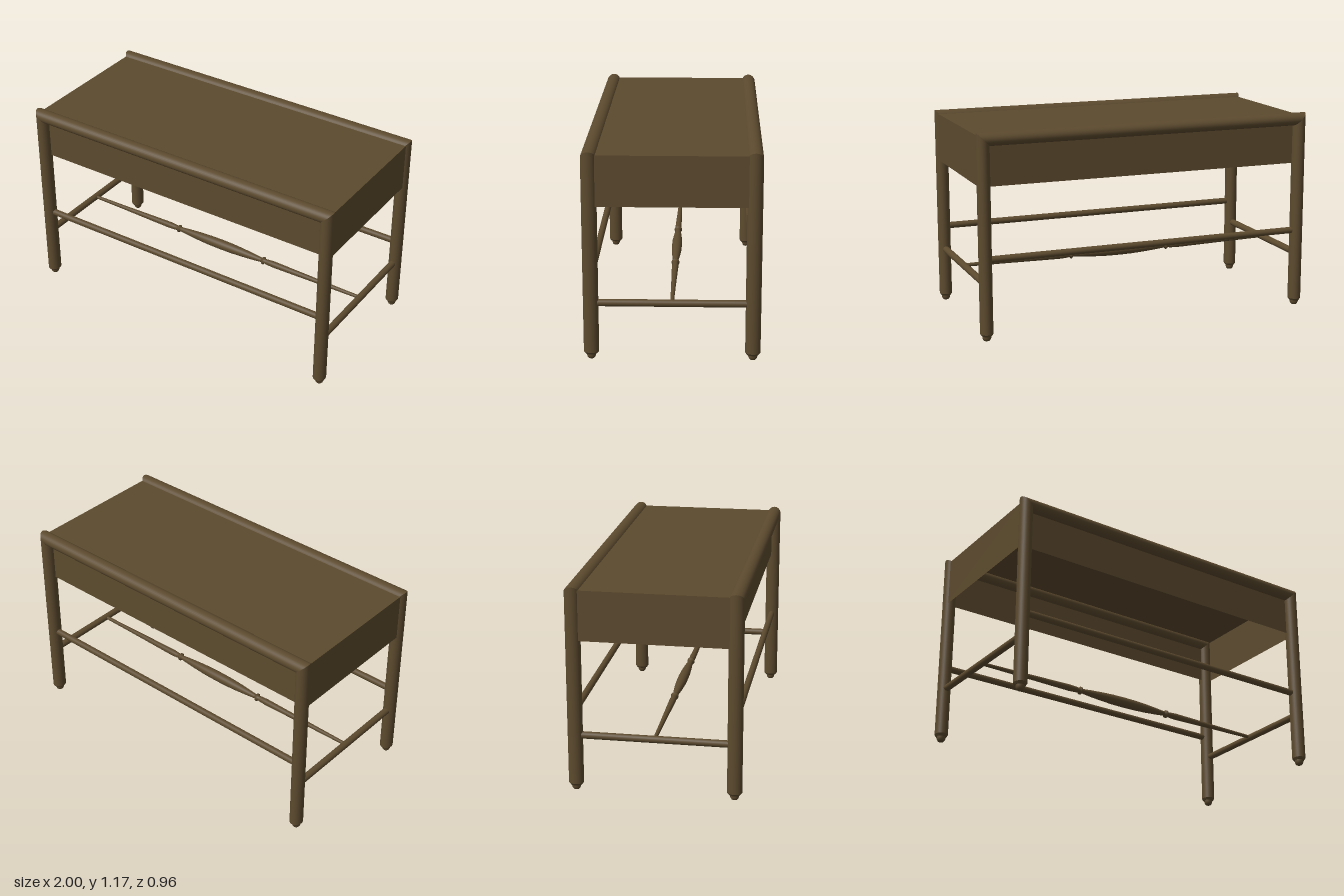
import * as THREE from 'three';

const wood = new THREE.MeshStandardMaterial({ color: 0x5c4a2e });
wood.name = 'brown wood';
const panelWood = new THREE.MeshStandardMaterial({ color: 0x5c4a2e, side: THREE.DoubleSide });
panelWood.name = 'brown wood panel';

const LEG_X = 0.963, LEG_Z = 0.439, RAIL_Y = 1.129, R = 0.037, FLAT = 1.13;

function add(parent, name, geometry, material, x = 0, y = 0, z = 0) {
  const mesh = new THREE.Mesh(geometry, material);
  mesh.name = name;
  mesh.position.set(x, y, z);
  parent.add(mesh);
  return mesh;
}

// Round rod lying along x or z
function rod(radius, length, axis) {
  const g = new THREE.CylinderGeometry(radius, radius, length, 20);
  return axis === 'x' ? g.rotateZ(Math.PI / 2) : g.rotateX(Math.PI / 2);
}

// Oval post whose top is cut at 45 degrees to meet the rail
function legGeometry(side) {
  const bottom = 0.04;
  const g = new THREE.CylinderGeometry(R, R, 1, 32, 1, true);
  const p = g.attributes.position;
  for (let i = 0; i < p.count; i++) {
    p.setY(i, p.getY(i) > 0 ? RAIL_Y + p.getX(i) * side : bottom);
  }
  return g.scale(1, 1, FLAT);
}

// Oval rail with both ends mitred
function railGeometry() {
  const g = new THREE.CylinderGeometry(R, R, 2, 32, 1, true).rotateZ(Math.PI / 2);
  const p = g.attributes.position;
  for (let i = 0; i < p.count; i++) {
    p.setX(i, Math.sign(p.getX(i)) * (LEG_X + p.getY(i)));
  }
  return g.scale(1, 1, FLAT);
}

function createLeg(side, z) {
  const leg = new THREE.Group();
  leg.name = 'leg';
  leg.position.set(side * LEG_X, 0, z);
  add(leg, 'post', legGeometry(side), wood);
  // bevelled end and small peg foot
  const bevel = new THREE.CylinderGeometry(R, R - 0.008, 0.012, 32).scale(1, 1, FLAT);
  add(leg, 'legEnd', bevel, wood, 0, 0.034, 0);
  const foot = [[0, 0], [0.016, 0], [0.021, 0.006], [0.025, 0.016], [0.025, 0.032]];
  add(leg, 'foot', new THREE.LatheGeometry(foot.map(([r, y]) => new THREE.Vector2(r, y)), 24), wood);
  return leg;
}

// Turned spindle, profile mirrored about its middle
function spindleGeometry() {
  const half = [
    [0.030, 0], [0.029, 0.08], [0.025, 0.16], [0.019, 0.24], [0.014, 0.29],
    [0.014, 0.297], [0.023, 0.303], [0.023, 0.311], [0.014, 0.317], [0.017, 0.34],
    [0.019, 0.38], [0.017, 0.5], [0.013, 0.72], [0.010, 0.955],
  ];
  const profile = [
    ...half.slice(1).reverse().map(([r, t]) => new THREE.Vector2(r, -t)),
    ...half.map(([r, t]) => new THREE.Vector2(r, t)),
  ];
  return new THREE.LatheGeometry(profile, 24).rotateZ(Math.PI / 2);
}

export function createModel() {
  const model = new THREE.Group();
  model.name = 'bench';

  // Front and back frames
  for (const s of [1, -1]) {
    const frame = new THREE.Group();
    frame.name = s > 0 ? 'frontFrame' : 'backFrame';
    for (const side of [1, -1]) frame.add(createLeg(side, s * LEG_Z));
    add(frame, 'topRail', railGeometry(), wood, 0, RAIL_Y, s * LEG_Z);
    add(frame, 'longStretcher', rod(0.019, 2 * LEG_X, 'x'), wood, 0, 0.46, s * LEG_Z);
    model.add(frame);
  }

  // Seat: a top with four aprons, open underneath
  const seat = new THREE.Group();
  seat.name = 'seat';
  const top = 1.146, low = 0.866, h = top - low, mid = (top + low) / 2;
  const hx = 0.985, hz = 0.43;
  add(seat, 'seatTop', new THREE.PlaneGeometry(2 * hx, 2 * hz).rotateX(-Math.PI / 2), panelWood, 0, top, 0);
  for (const s of [1, -1]) {
    add(seat, 'longApron', new THREE.PlaneGeometry(2 * hx, h), panelWood, 0, mid, s * hz)
      .rotation.y = s > 0 ? 0 : Math.PI;
    add(seat, 'endApron', new THREE.PlaneGeometry(2 * hz, h), panelWood, s * hx, mid, 0)
      .rotation.y = s * Math.PI / 2;
  }
  model.add(seat);

  // End stretchers joined by the turned spindle
  for (const s of [1, -1]) {
    add(model, 'endStretcher', rod(0.02, 2 * LEG_Z, 'z'), wood, s * LEG_X, 0.32, 0);
  }
  add(model, 'spindle', spindleGeometry(), wood, 0, 0.322, 0);

  return model;
}
